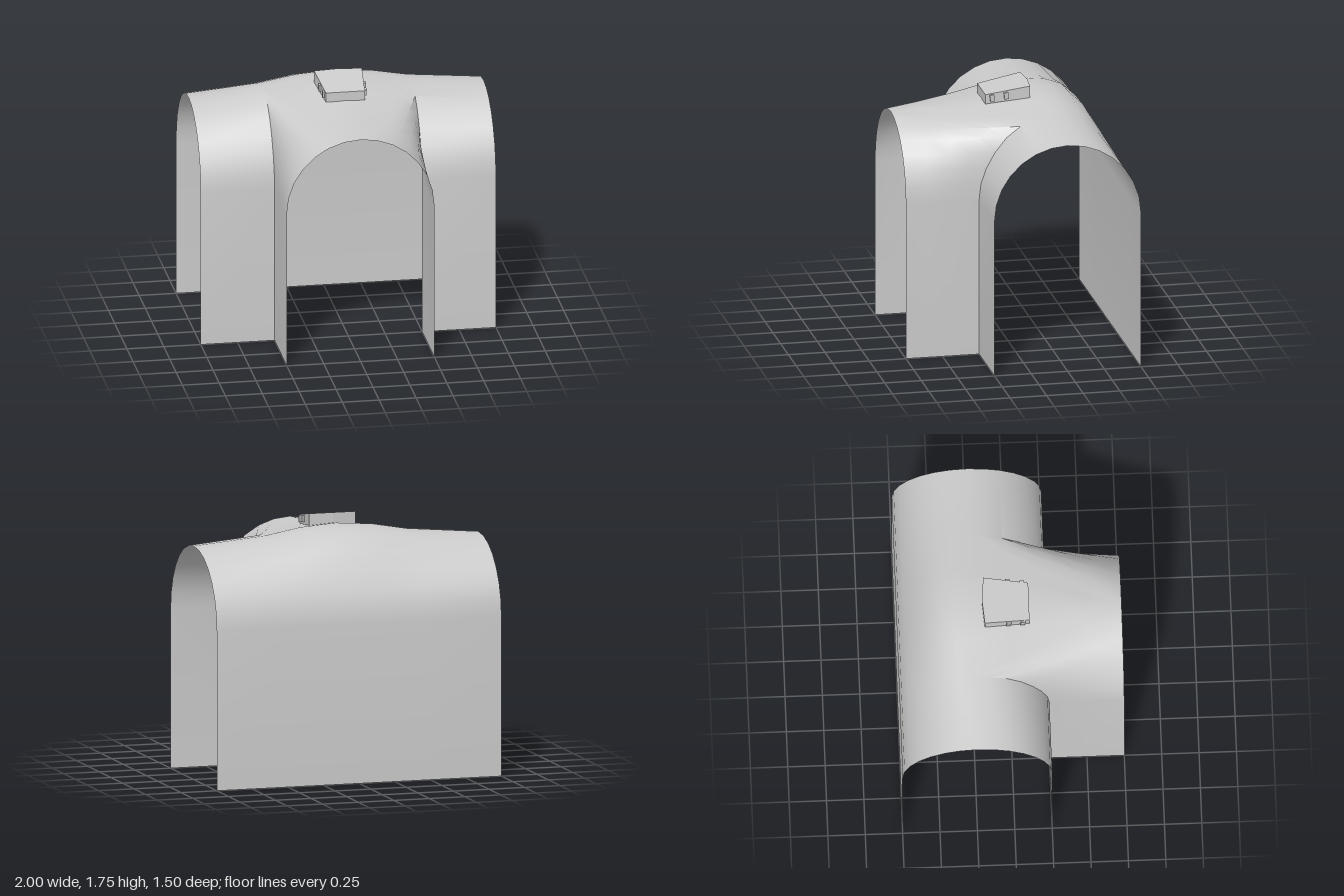
import * as THREE from 'three';
import { mergeGeometries, toCreasedNormals } from 'three/addons/utils/BufferGeometryUtils.js';

const R = 0.5, SPRING = 1.08, ZC = -0.25, SEG = 14; // arch radius, spring height, tunnel axis, arch segments
const CENTRE_X = [-0.5, -0.25, 0, 0.25, 0.5];

// Grid surface: rows is an array of equally long lists of points
function grid(rows) {
  const pos = [], index = [], n = rows[0].length;
  rows.forEach((row) => row.forEach((p) => pos.push(...p)));
  for (let i = 0; i < rows.length - 1; i++) {
    for (let j = 0; j < n - 1; j++) {
      const a = i * n + j, b = a + n;
      index.push(a, b, b + 1, a, b + 1, a + 1);
    }
  }
  const g = new THREE.BufferGeometry();
  g.setAttribute('position', new THREE.Float32BufferAttribute(pos, 3));
  g.setIndex(index);
  return g;
}

// How far the crown rises towards the middle of the main tunnel
function lift(x) {
  const a = Math.abs(x);
  if (a >= 0.5) return 0.045 * (1 - a) / 0.5;
  if (a >= 0.25) return 0.045 + 0.045 * (0.5 - a) / 0.25;
  return 0.09 + 0.018 * (0.25 - a) / 0.25;
}

// Point on the main tunnel; t runs from the front wall (0) over the top to the back wall (PI)
function mainPoint(x, t) {
  const s = Math.sin(t);
  const f = THREE.MathUtils.clamp((s - 0.53) / 0.35, 0, 1);
  return [x, SPRING + R * s + lift(x) * f, ZC + R * Math.cos(t)];
}

// Cross-section of the main tunnel, either whole or only the back half
function mainSection(x, whole) {
  const pts = whole ? [[x, 0, ZC + R]] : [];
  for (let i = whole ? 0 : SEG / 2; i <= SEG; i++) pts.push(mainPoint(x, i / SEG * Math.PI));
  pts.push([x, 0, ZC - R]);
  return pts;
}

// Ruled line of the branch from the main tunnel (back) to its own arch (front)
function ruling(back, front, sag) {
  const pts = [];
  for (let k = 0; k <= 4; k++) {
    const t = k / 4;
    const p = back.map((b, i) => b + (front[i] - b) * t);
    p[1] -= sag * Math.sin(Math.PI * t);
    pts.push(p);
  }
  return pts;
}

function branchRows() {
  const side = (sx) => {
    const rows = [ruling([sx * R, 0, 0.25], [sx * R, 0, 0.75], 0)];
    for (let i = 0; i <= SEG / 2; i++) {
      const t = i / SEG * Math.PI;
      const front = [sx * R * Math.cos(t), SPRING + R * Math.sin(t), 0.75];
      rows.push(ruling(mainPoint(sx * R, t), front, 0.015 * Math.sin(t) ** 4));
    }
    return rows;
  };
  // flat fan from the front apex to the ridge of the main tunnel
  const fan = CENTRE_X.slice(1, -1).reverse()
    .map((x) => ruling(mainPoint(x, Math.PI / 2), [0, SPRING + R, 0.75], 0.015));
  return [...side(1), ...fan, ...side(-1).reverse()];
}

// Sloping housing with a tapered plan and a slightly bent rear edge
function housingGeometry() {
  const plan = [[-0.132, 0.13], [0.132, 0.13], [0.162, -0.17], [0, -0.183], [-0.162, -0.17]];
  const shape = new THREE.Shape(plan.map(([x, z]) => new THREE.Vector2(x, -z)));
  const g = new THREE.ExtrudeGeometry(shape, { depth: 1, bevelEnabled: false });
  g.rotateX(-Math.PI / 2);
  const p = g.attributes.position;
  for (let i = 0; i < p.count; i++) {
    const d = 0.13 - p.getZ(i);
    p.setY(i, p.getY(i) > 0.5 ? 1.695 + 0.168 * d : 1.63 + 0.117 * d);
  }
  g.computeVertexNormals();
  return g;
}

export function createModel() {
  const group = new THREE.Group();
  const shellMat = new THREE.MeshStandardMaterial({ color: 0xcccccc, side: THREE.DoubleSide });
  const boxMat = new THREE.MeshStandardMaterial({ color: 0xcccccc });

  // Tunnel shell: two wings, the back of the middle bay and the front branch
  const parts = [
    grid([-1, -0.5].map((x) => mainSection(x, true))),
    grid([0.5, 1].map((x) => mainSection(x, true))),
    grid(CENTRE_X.map((x) => mainSection(x, false))),
    grid(branchRows()),
  ];
  const shell = new THREE.Mesh(toCreasedNormals(mergeGeometries(parts), 0.5), shellMat);
  shell.name = 'tunnelShell';
  group.add(shell);

  // Housing on the roof
  const housing = new THREE.Mesh(housingGeometry(), boxMat);
  housing.name = 'roofHousing';
  group.add(housing);

  // Small clips on both sides of the housing
  for (const sx of [-1, 1]) {
    for (const z of [-0.01, 0.085]) {
      const clip = new THREE.Mesh(new THREE.BoxGeometry(0.024, 0.045, 0.03), boxMat);
      clip.name = 'housingClip';
      clip.position.set(sx * (0.147 - 0.1 * (z + 0.01)), 1.672 + 0.14 * (0.085 - z), z);
      clip.rotation.x = 0.14;
      group.add(clip);
    }
  }
  return group;
}
